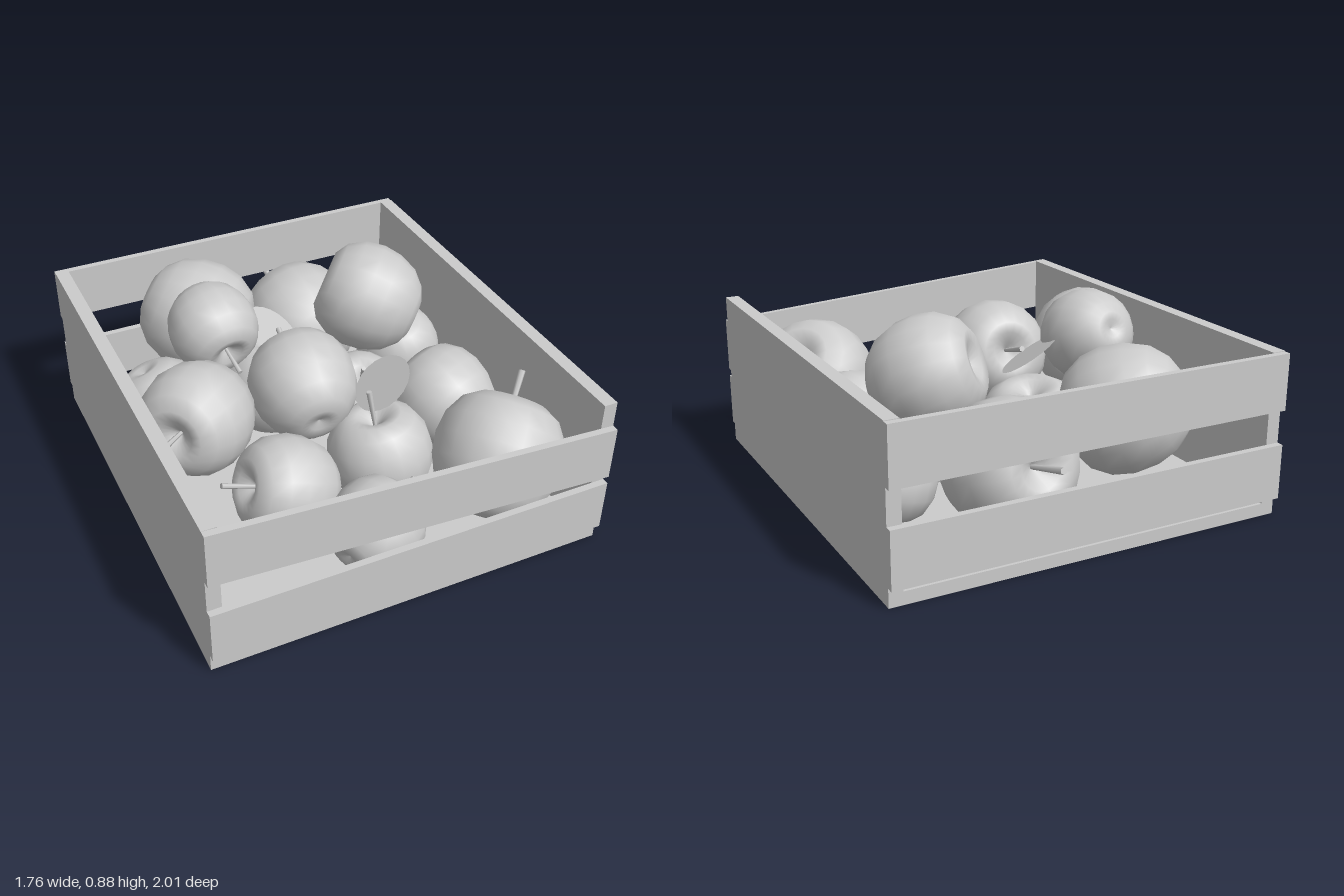
import * as THREE from 'three';

const grey = new THREE.MeshStandardMaterial({ color: 0xcccccc });
const thin = new THREE.MeshStandardMaterial({ color: 0xcccccc, side: THREE.DoubleSide });
const UP = new THREE.Vector3(0, 1, 0);

function board(parent, name, [w, h, d], [x, y, z]) {
  const mesh = new THREE.Mesh(new THREE.BoxGeometry(w, h, d), grey);
  mesh.name = name;
  mesh.position.set(x, y, z);
  parent.add(mesh);
  return mesh;
}

// Unit apple body: rounded, with a deep stem dimple and a shallow base dimple
function appleGeometry() {
  const profile = [
    [0, -0.8], [0.2, -0.88], [0.36, -0.9], [0.58, -0.8], [0.82, -0.56], [0.96, -0.22], [1, 0.12],
    [0.94, 0.46], [0.76, 0.76], [0.52, 0.91], [0.33, 0.88], [0.15, 0.75], [0, 0.62],
  ].map(([x, y]) => new THREE.Vector2(x, y));
  return new THREE.LatheGeometry(profile, 18);
}

// Unit stem, slightly wider at the tip, rooted in the dimple
function stemGeometry() {
  return new THREE.CylinderGeometry(0.055, 0.035, 0.8, 6).translate(0, 1.0, 0);
}

// Shallow domed round leaf
function leafGeometry(radius) {
  const geo = new THREE.CircleGeometry(radius, 20).rotateX(-Math.PI / 2);
  return geo;
}

export function createModel() {
  const model = new THREE.Group();
  model.name = 'appleCrate';

  // Crate
  const crate = new THREE.Group();
  crate.name = 'crate';
  model.add(crate);
  board(crate, 'floor', [1.76, 0.055, 1.91], [0, 0.0275, 0.015]);
  for (const s of [-1, 1]) {
    board(crate, s > 0 ? 'leftSide' : 'rightSide', [0.06, 0.663, 1.91], [s * 0.85, 0.3865, 0.015]);
  }
  board(crate, 'frontLowerSlat', [1.76, 0.24, 0.03], [0, 0.2, 0.985]);
  board(crate, 'backLowerSlat', [1.76, 0.24, 0.03], [0, 0.2, -0.955]);
  board(crate, 'backUpperSlat', [1.76, 0.245, 0.03], [0, 0.5925, -0.955]);

  // Upper front slat slopes down towards the left, with vertical ends
  const slat = board(crate, 'frontUpperSlat', [1.76, 0.247, 0.03], [0, 0.536, 0.985]);
  const pos = slat.geometry.attributes.position;
  for (let i = 0; i < pos.count; i++) pos.setY(i, pos.getY(i) - pos.getX(i) * 0.066);
  slat.geometry.computeVertexNormals();

  // Apples: centre, radius, stem axis, has stem
  const apples = [
    // bottom layer
    [[-0.30, 0.49, -0.68], 0.27, [0.75, -0.35, 0.6], true],
    [[0.24, 0.33, -0.64], 0.275, [-0.1, 0.25, -0.95], true],
    [[-0.60, 0.29, -0.30], 0.235, [0.3, -0.8, 0.3], false],
    [[-0.09, 0.29, -0.27], 0.235, [0.1, 0.95, -0.1], false],
    [[0.62, 0.26, -0.35], 0.205, [0.2, -0.9, -0.2], false],
    [[0.27, 0.245, -0.08], 0.195, [-0.15, 0.85, 0.45], true],
    [[0.585, 0.29, 0.17], 0.235, [-0.3, 0.4, -0.85], false],
    [[0.14, 0.275, 0.39], 0.23, [-0.12, 0.96, -0.15], true],
    [[-0.31, 0.28, 0.42], 0.225, [-0.93, 0.35, 0], true],
    [[-0.08, 0.25, 0.76], 0.2, [0.85, 0.3, -0.4], true],
    [[0.54, 0.335, 0.68], 0.28, [0.55, 0.68, -0.47], true],
    // top layer
    [[-0.365, 0.69, -0.27], 0.197, [0.1, -0.35, 0.93], true],
    [[0.42, 0.62, -0.28], 0.25, [-0.74, 0.34, -0.57], false],
    [[-0.10, 0.54, 0.12], 0.235, [0.06, 0.3, -0.95], true],
    [[-0.58, 0.53, 0.12], 0.24, [-0.72, 0.15, 0.65], true],
  ];
  const body = appleGeometry();
  const stem = stemGeometry();
  apples.forEach(([centre, radius, axis, hasStem], i) => {
    const apple = new THREE.Group();
    apple.name = `apple${i + 1}`;
    apple.position.set(...centre);
    apple.quaternion.setFromUnitVectors(UP, new THREE.Vector3(...axis).normalize());
    apple.scale.setScalar(radius);
    const flesh = new THREE.Mesh(body, grey);
    flesh.name = 'appleBody';
    apple.add(flesh);
    if (hasStem) {
      const stalk = new THREE.Mesh(stem, grey);
      stalk.name = 'stem';
      apple.add(stalk);
    }
    model.add(apple);
  });

  // Loose leaves lying among the apples
  const leaves = [
    [[-0.10, 0.62, -0.22], [0.45, 0.8, 0.3]],
    [[0.20, 0.56, 0.27], [-0.62, 0.78, -0.05]],
  ];
  leaves.forEach(([centre, normal], i) => {
    const leaf = new THREE.Mesh(leafGeometry(0.14), thin);
    leaf.name = `leaf${i + 1}`;
    leaf.position.set(...centre);
    leaf.quaternion.setFromUnitVectors(UP, new THREE.Vector3(...normal).normalize());
    model.add(leaf);
  });

  return model;
}
